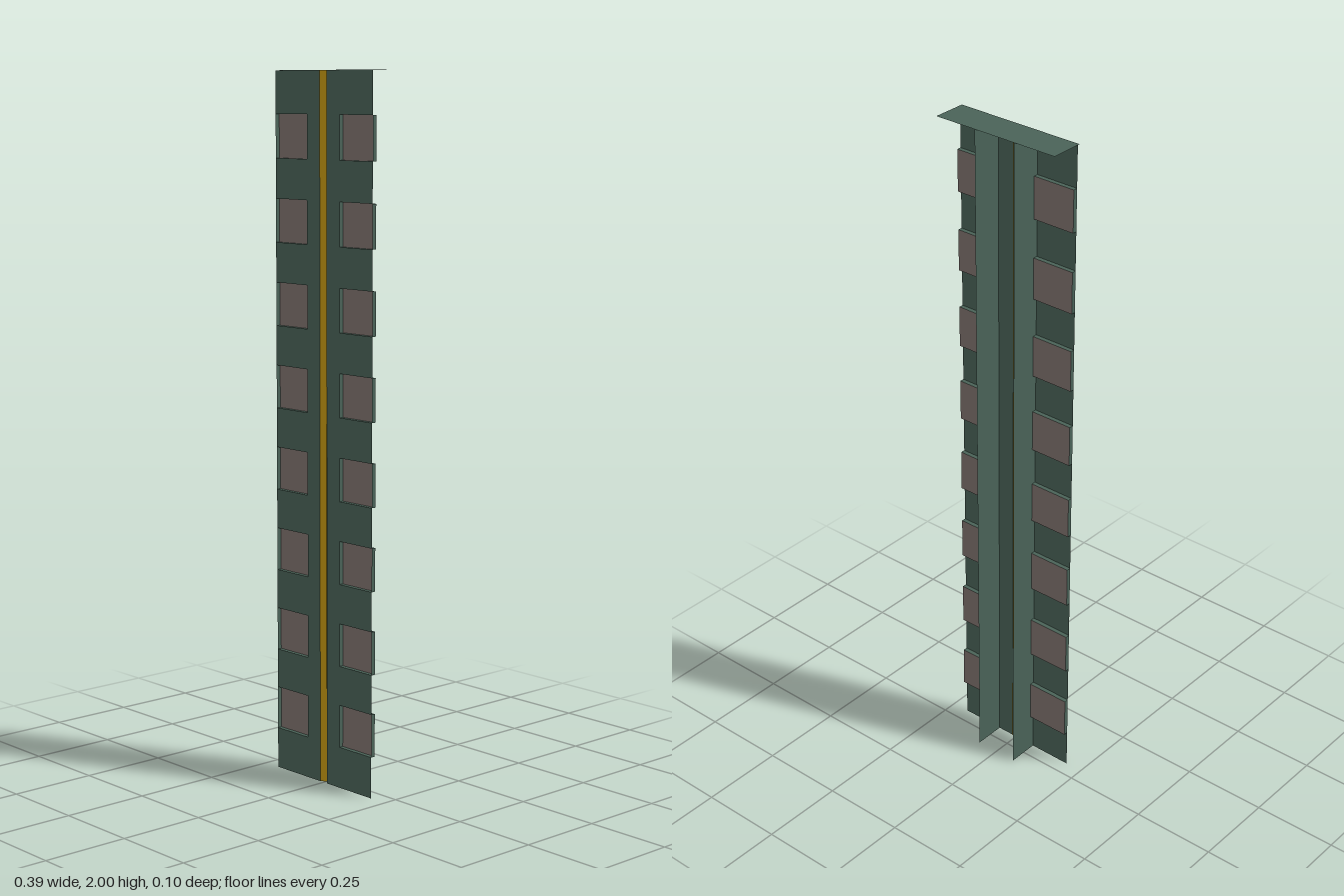
import * as THREE from 'three';

const W = 0.197, INNER = 0.066, GROOVE = 0.014; // half widths: panel, window inner edge, groove
const FRONT = 0.043, RECESS = 0.03, BACK = -0.05;
const H = 2, ROWS = 8, WIN_H = 0.122, FIRST = 0.179, PITCH = 0.2344;

export function createModel() {
  const model = new THREE.Group();
  const mat = (color) => new THREE.MeshStandardMaterial({ color, side: THREE.DoubleSide, flatShading: true });
  const green = mat(0x4a6358), brown = mat(0x80736f), gold = mat(0xb58c10);

  // Thin sheets facing z, x or y, given by their extents
  const add = (parent, name, geo, material, x, y, z) => {
    const mesh = new THREE.Mesh(geo, material);
    mesh.name = name;
    mesh.position.set(x, y, z);
    parent.add(mesh);
    return mesh;
  };
  const sheetZ = (p, name, m, x0, x1, y0, y1, z) =>
    add(p, name, new THREE.PlaneGeometry(Math.abs(x1 - x0), y1 - y0), m, (x0 + x1) / 2, (y0 + y1) / 2, z);
  const sheetX = (p, name, m, x, y0, y1, z0, z1) =>
    add(p, name, new THREE.PlaneGeometry(z1 - z0, y1 - y0).rotateY(Math.PI / 2), m, x, (y0 + y1) / 2, (z0 + z1) / 2);
  const sheetY = (p, name, m, x0, x1, y, z0, z1) =>
    add(p, name, new THREE.PlaneGeometry(Math.abs(x1 - x0), z1 - z0).rotateX(-Math.PI / 2), m, (x0 + x1) / 2, y, (z0 + z1) / 2);

  // Top cap
  sheetY(model, 'topCap', green, -W, W, H, BACK, 0.05);

  for (const s of [1, -1]) {
    const half = new THREE.Group();
    half.name = s > 0 ? 'leftHalf' : 'rightHalf';
    model.add(half);

    // Panel beside the groove, and the rib behind it
    sheetZ(half, 'panelStrip', green, s * GROOVE, s * INNER, 0, H, FRONT);
    sheetX(half, 'rearRib', green, s * INNER, 0, H, BACK, FRONT);

    // Recessed windows with the panel bars between them
    let below = 0;
    for (let i = 0; i < ROWS; i++) {
      const y0 = FIRST + i * PITCH - WIN_H / 2, y1 = y0 + WIN_H;
      sheetZ(half, 'panelBar', green, s * INNER, s * W, below, y0, FRONT);
      below = y1;
      const recess = new THREE.Group();
      recess.name = 'windowRecess';
      half.add(recess);
      sheetZ(recess, 'windowPane', brown, s * INNER, s * W, y0, y1, RECESS);
      sheetX(recess, 'innerWall', green, s * INNER, y0, y1, RECESS, FRONT);
      sheetX(recess, 'outerWall', green, s * W, y0, y1, RECESS, FRONT);
      sheetY(recess, 'sill', green, s * INNER, s * W, y0, RECESS, FRONT);
      sheetY(recess, 'lintel', green, s * INNER, s * W, y1, RECESS, FRONT);
    }
    sheetZ(half, 'panelBar', green, s * INNER, s * W, below, H, FRONT);

    // One slope of the central V groove
    const depth = 0.012;
    const slope = new THREE.PlaneGeometry(Math.hypot(GROOVE, depth), H).rotateY(-s * Math.atan2(depth, GROOVE));
    add(half, 'grooveSlope', slope, gold, s * GROOVE / 2, H / 2, FRONT - depth / 2);
  }
  return model;
}
